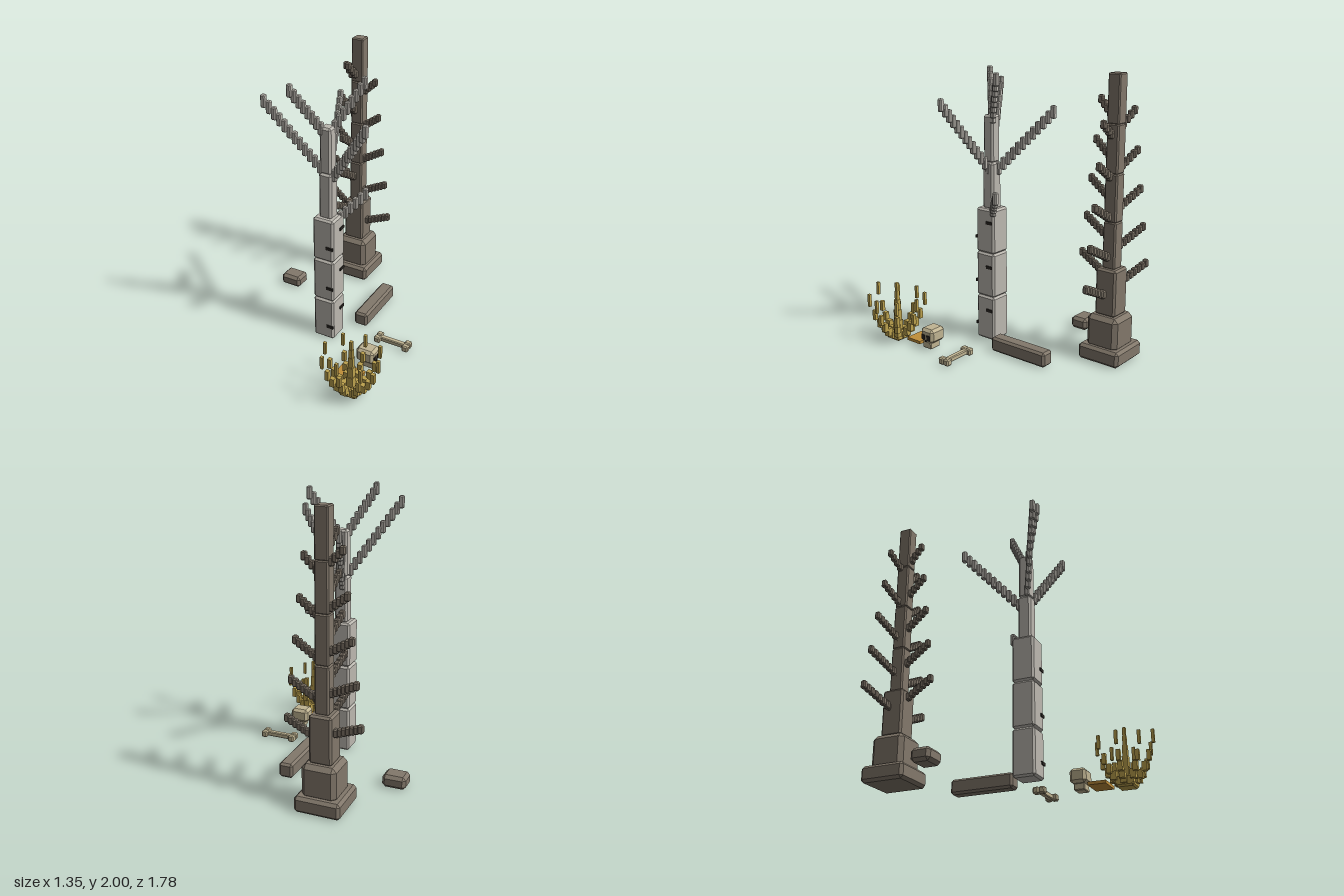
import * as THREE from 'three';
import { ConvexGeometry } from 'three/addons/geometries/ConvexGeometry.js';

const material = (name, color) => {
  const m = new THREE.MeshStandardMaterial({ color });
  m.name = name;
  return m;
};

// Box centred on the origin with all edges and corners cut by c
function chamferBox(w, h, d, c) {
  const points = [];
  for (const x of [-1, 1]) for (const y of [-1, 1]) for (const z of [-1, 1]) {
    const a = x * w / 2, b = y * h / 2, e = z * d / 2;
    points.push(
      new THREE.Vector3(a, b - y * c, e - z * c),
      new THREE.Vector3(a - x * c, b, e - z * c),
      new THREE.Vector3(a - x * c, b - y * c, e));
  }
  return new ConvexGeometry(points);
}

export function createModel() {
  const model = new THREE.Group();
  const darkBark = material('dark bark', 0x82786b);
  const paleBark = material('pale bark', 0xbcb8b0);
  const gold = material('golden leaf', 0xbda24e);
  const amber = material('amber plate', 0xc08f3a);
  const bone = material('bone', 0xc0b492);
  const black = material('black marks', 0x2a2622);

  const group = (name, parent = model) => {
    const g = new THREE.Group();
    g.name = name;
    parent.add(g);
    return g;
  };
  const add = (parent, name, geometry, mat, x, y, z) => {
    const m = new THREE.Mesh(geometry, mat);
    m.name = name;
    m.position.set(x, y, z);
    parent.add(m);
    return m;
  };
  // Chamfered block given by its limits on each axis
  const block = (parent, name, mat, [x0, x1], [y0, y1], [z0, z1], c) =>
    add(parent, name, chamferBox(x1 - x0, y1 - y0, z1 - z0, c), mat,
      (x0 + x1) / 2, (y0 + y1) / 2, (z0 + z1) / 2);
  // Stepped branch: a row of equal blocks from one point to another
  const branch = (parent, name, mat, geometry, from, to, count) => {
    const g = group(name, parent);
    const a = new THREE.Vector3(...from), b = new THREE.Vector3(...to);
    for (let i = 0; i < count; i++) {
      const p = a.clone().lerp(b, i / (count - 1));
      add(g, 'branchBlock', geometry, mat, p.x, p.y, p.z);
    }
  };

  // Dark tree: stacked trunk, widest at the foot
  const darkTree = group('darkTree');
  const dx = -0.245, dz = -0.725;
  const trunk = [
    [0.325, 0, 0.115, 0.02], [0.245, 0.09, 0.335, 0.03], [0.16, 0.33, 0.67, 0.014],
    [0.1, 0.665, 1, 0.01], [0.098, 0.995, 1.335, 0.01],
    [0.096, 1.33, 1.67, 0.01], [0.094, 1.665, 2, 0.008],
  ];
  for (const [w, y0, y1, c] of trunk) {
    const x = w > 0.3 ? dx - 0.005 : dx;
    block(darkTree, 'trunkBlock', darkBark,
      [x - w / 2, x + w / 2], [y0, y1], [dz - w / 2, dz + w / 2], c);
  }
  // Five tiers of three branches, shorter towards the top
  const twig = chamferBox(0.038, 0.058, 0.038, 0.008);
  for (let i = 0; i < 5; i++) {
    const y = i * 0.275, s = 1 - i * 0.125;
    const grow = (name, x, z, y0, y1) => branch(darkTree, name, darkBark, twig,
      [dx, y0 + y, dz], [dx + x * s, y1 + y, dz + z * s], 10 - i);
    grow('rightBranch', -0.285, -0.1, 0.51, 0.645);
    grow('leftBranch', 0.275, 0.025, 0.45, 0.575);
    grow('frontBranch', -0.045, 0.275, 0.575, 0.715);
  }

  // Pale tree: three thick blocks under two thin ones
  const paleTree = group('paleTree');
  const px = -0.012, pz = 0.157;
  for (const [w, y0, y1] of [
    [0.164, 0, 0.335], [0.164, 0.335, 0.668], [0.164, 0.668, 1],
    [0.098, 0.99, 1.335], [0.088, 1.33, 1.67]]) {
    block(paleTree, 'trunkBlock', paleBark,
      [px - w / 2, px + w / 2], [y0, y1], [pz - w / 2, pz + w / 2], 0.014);
  }
  const paleTwig = chamferBox(0.036, 0.09, 0.036, 0.007);
  for (const [from, to, count] of [
    [[0.05, 0.975, 0.1], [0.178, 1.125, -0.035], 6],
    [[0.02, 1.29, 0.16], [0.345, 1.76, 0.305], 13],
    [[-0.03, 1.33, 0.17], [-0.37, 1.85, 0.365], 13],
    [[-0.015, 1.25, 0.14], [-0.157, 1.71, -0.275], 13],
    [[0, 1.62, 0.14], [0.16, 1.94, -0.03], 9],
    [[-0.025, 1.62, 0.17], [-0.195, 1.94, 0.325], 9]]) {
    branch(paleTree, 'branch', paleBark, paleTwig, from, to, count);
  }
  // Dark bark marks on two sides of the trunk
  for (let i = 0; i < 3; i++) {
    const y = 0.11 + i * 0.335;
    add(paleTree, 'frontMark', new THREE.BoxGeometry(0.055, 0.022, 0.009), black, 0.042, y, 0.242);
    add(paleTree, 'sideMark', new THREE.BoxGeometry(0.009, 0.022, 0.055), black, 0.073, y + 0.12, 0.116);
  }

  // Stone and fallen log
  block(model, 'stone', darkBark, [-0.675, -0.505], [0, 0.092], [-0.35, -0.21], 0.022);
  block(model, 'fallenLog', darkBark, [0.107, 0.212], [0, 0.108], [-0.488, -0.015], 0.016);

  // Loose bone with two knobs at each end
  const looseBone = group('looseBone');
  block(looseBone, 'shaft', bone, [0.38, 0.585], [0.012, 0.048], [0.056, 0.096], 0.006);
  for (const x of [0.367, 0.593]) for (const z of [0.054, 0.1]) {
    add(looseBone, 'knob', chamferBox(0.048, 0.05, 0.046, 0.009), bone, x, 0.03, z);
  }

  // Skull looking along +x
  const skull = group('skull');
  block(skull, 'cranium', bone, [0.35, 0.49], [0.05, 0.155], [0.302, 0.422], 0.02);
  block(skull, 'jaw', bone, [0.385, 0.482], [0.005, 0.06], [0.322, 0.402], 0.006);
  for (const z of [0.337, 0.387]) {
    add(skull, 'eye', new THREE.BoxGeometry(0.009, 0.036, 0.032), black, 0.491, 0.093, z);
  }
  add(skull, 'nose', new THREE.BoxGeometry(0.008, 0.014, 0.012), black, 0.491, 0.066, 0.362);

  // Golden plant: low base, upright stem and eight leaves curving upwards
  const plant = group('goldenPlant');
  const gx = 0.46, gz = 0.68;
  add(plant, 'base', chamferBox(0.13, 0.05, 0.13, 0.012), gold, gx, 0.025, gz);
  for (const [y, w] of [[0.09, 0.05], [0.17, 0.042], [0.25, 0.034], [0.315, 0.026], [0.38, 0.022]]) {
    add(plant, 'stemBlock', new THREE.BoxGeometry(w, 0.1, w), gold, gx, y, gz);
  }
  const steps = [[0.06, 0.045, 0.045, 0.05], [0.095, 0.075, 0.04, 0.06], [0.13, 0.12, 0.034, 0.065],
    [0.165, 0.185, 0.028, 0.075], [0.202, 0.3, 0.021, 0.095]];
  for (let i = 0; i < 8; i++) {
    const a = i * Math.PI / 4, leaf = group('leaf', plant);
    const lift = i === 2 ? 1.14 : 1;
    for (const [r, y, w, h] of steps) {
      add(leaf, 'leafBlock', new THREE.BoxGeometry(w, h, w), gold,
        gx + Math.cos(a) * r, y * lift, gz + Math.sin(a) * r);
    }
  }

  // Flat plate beside the plant
  add(model, 'groundPlate', new THREE.BoxGeometry(0.18, 0.022, 0.13), amber, 0.365, 0.011, 0.525);

  return model;
}
